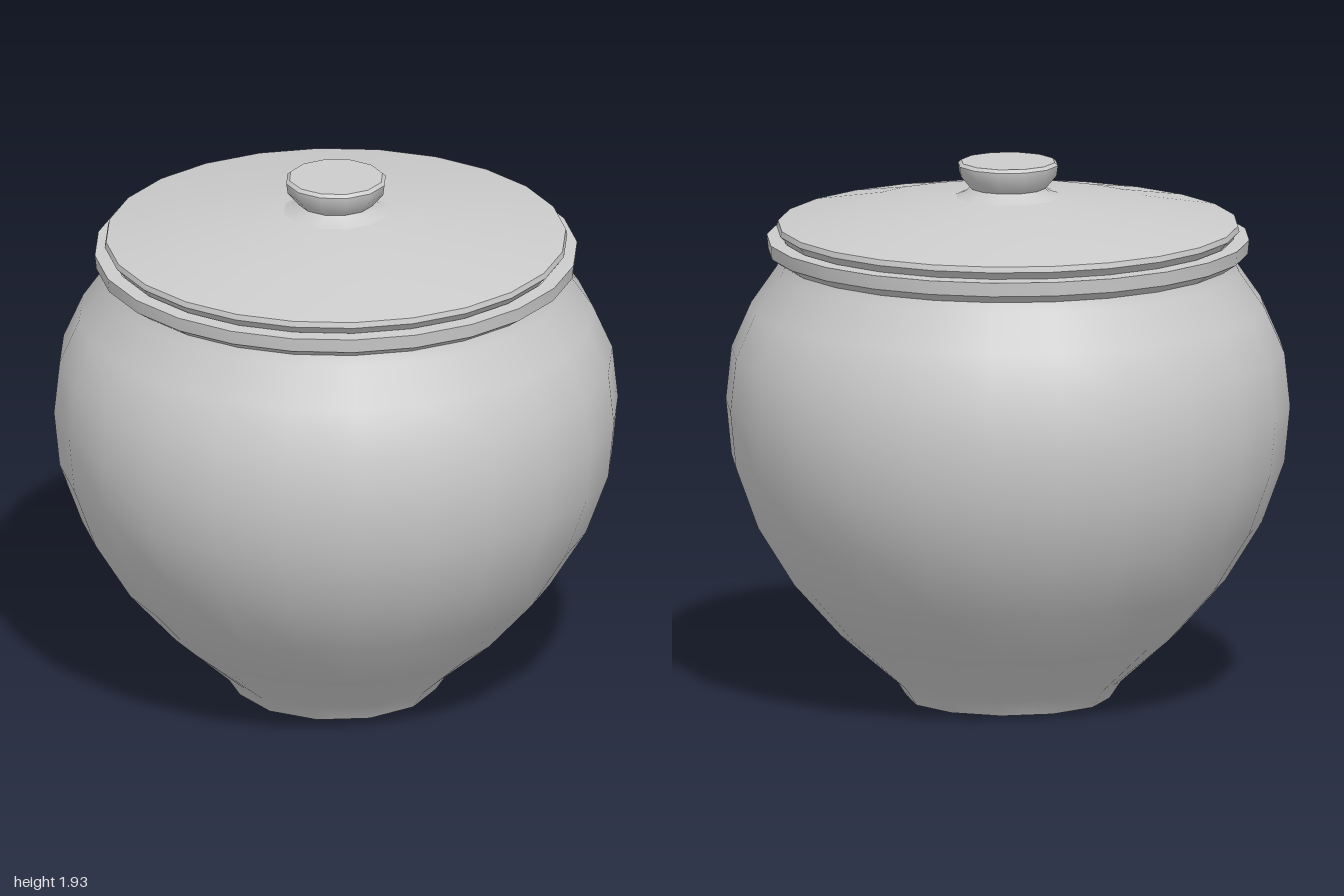
import * as THREE from 'three';
import { toCreasedNormals } from 'three/addons/utils/BufferGeometryUtils.js';

const grey = new THREE.MeshStandardMaterial({ color: 0xcccccc });

// Turned part from a bottom-to-top profile of [radius, height]
function turned(name, profile, sides, adjust) {
  const points = profile.map(([r, y]) => new THREE.Vector2(r, y));
  const geometry = new THREE.LatheGeometry(points, sides);
  if (adjust) adjust(geometry.attributes.position);
  const mesh = new THREE.Mesh(toCreasedNormals(geometry, THREE.MathUtils.degToRad(42)), grey);
  mesh.name = name;
  return mesh;
}

export function createModel() {
  const jar = new THREE.Group();
  jar.name = 'liddedJar';

  // Rounded body, narrow foot and flared rim
  const bodyProfile = [
    [0, 0], [0.36, 0], [0.4, 0.06], [0.6, 0.24], [0.77, 0.43], [0.9, 0.64],
    [0.98, 0.86], [1, 1.06], [0.98, 1.25], [0.91, 1.41], [0.82, 1.54],
    [0.805, 1.575], [0.85, 1.605], [0.855, 1.655], [0.8, 1.658], [0.78, 1.62], [0, 1.62],
  ];
  // The foot has half as many sides: pull every second vertex onto its chord
  const squareFoot = (pos) => {
    const rows = bodyProfile.length;
    for (let i = 1; i < 24; i += 2) {
      for (let j = 1; j <= 2; j++) {
        const k = i * rows + j, s = Math.cos(Math.PI / 12);
        pos.setX(k, pos.getX(k) * s);
        pos.setZ(k, pos.getZ(k) * s);
      }
    }
  };
  jar.add(turned('body', bodyProfile, 24, squareFoot));

  // Shallow domed lid
  jar.add(turned('lid', [
    [0, 1.65], [0.79, 1.65], [0.805, 1.67], [0.82, 1.685], [0.815, 1.705],
    [0.54, 1.758], [0.2, 1.803], [0, 1.815],
  ], 24));

  // Mushroom-shaped knob
  const knob = turned('knob', [
    [0.2, 1.8], [0.155, 1.815], [0.135, 1.835], [0.175, 1.882], [0.18, 1.918],
    [0.168, 1.929], [0, 1.93],
  ], 12);
  knob.rotation.y = -0.12;
  jar.add(knob);

  return jar;
}
